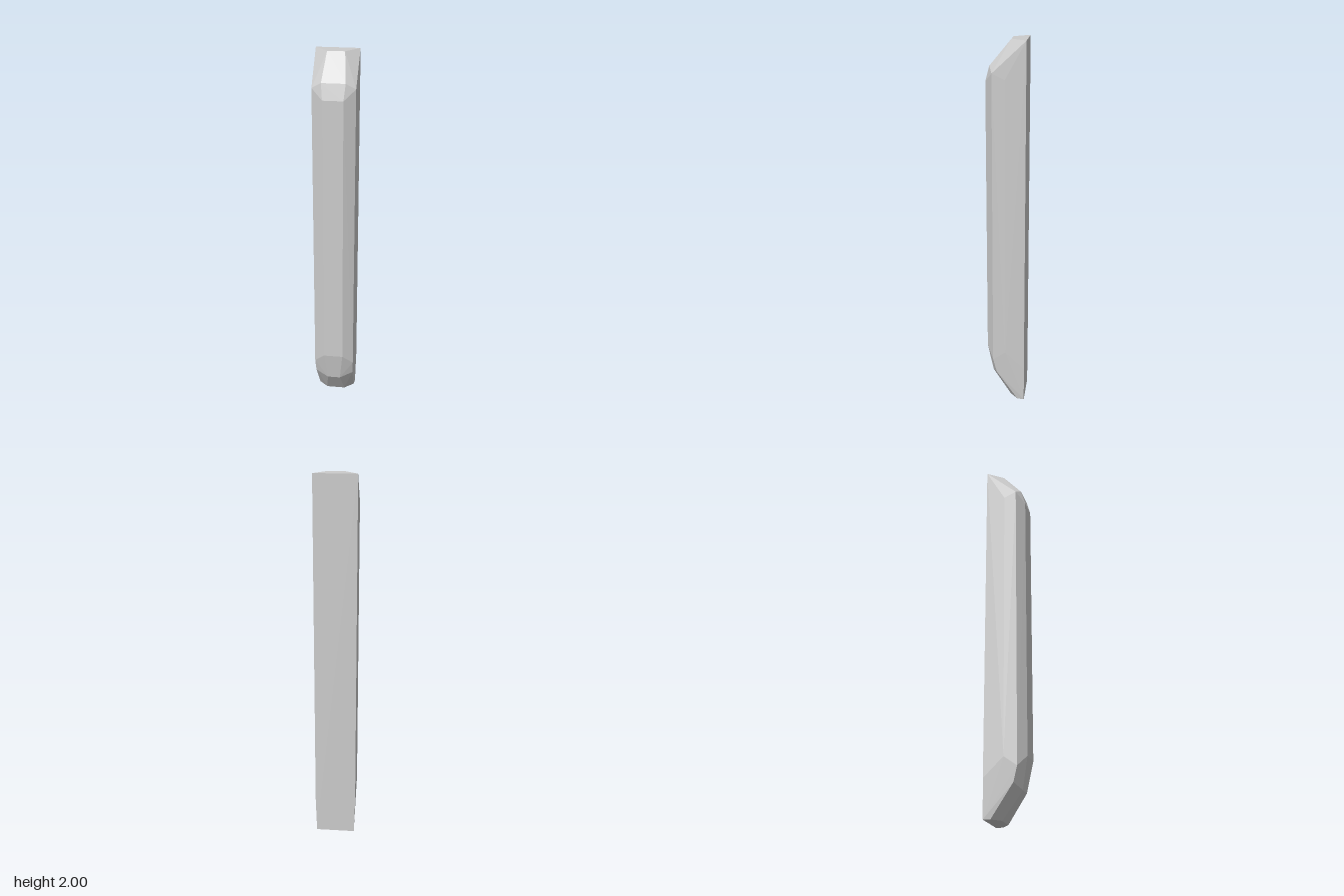
import * as THREE from 'three';
import { ConvexGeometry } from 'three/addons/geometries/ConvexGeometry.js';

export function createModel() {
  const group = new THREE.Group();
  group.name = 'chamferedBar';

  // corners of the left half as [x, y, z], mirrored to the right
  const half = [
    // flat back
    [0.105, 0, -0.105], [0.111, 0.2, -0.105], [0.111, 2, -0.105],
    // slightly bulging flanks
    [0.113, 0.3, 0], [0.113, 1.81, 0],
    // shoulder edges of the flanks
    [0.108, 0.25, 0.068], [0.105, 0.17, 0.048], [0.109, 1.84, 0.066],
    // front band
    [0.052, 0.31, 0.105], [0.052, 1.79, 0.105],
    // sloped top end
    [0.06, 1.87, 0.083], [0.044, 2, -0.025],
    // sloped bottom end
    [0.035, 0.145, 0.075], [0.05, 0, -0.025], [0.1, 0, -0.068],
  ];
  const points = half.flatMap(([x, y, z]) => [
    new THREE.Vector3(x, y, z),
    new THREE.Vector3(-x, y, z),
  ]);

  const bar = new THREE.Mesh(
    new ConvexGeometry(points),
    new THREE.MeshStandardMaterial({ color: 0xcccccc, flatShading: true })
  );
  bar.name = 'bar';
  group.add(bar);
  return group;
}
